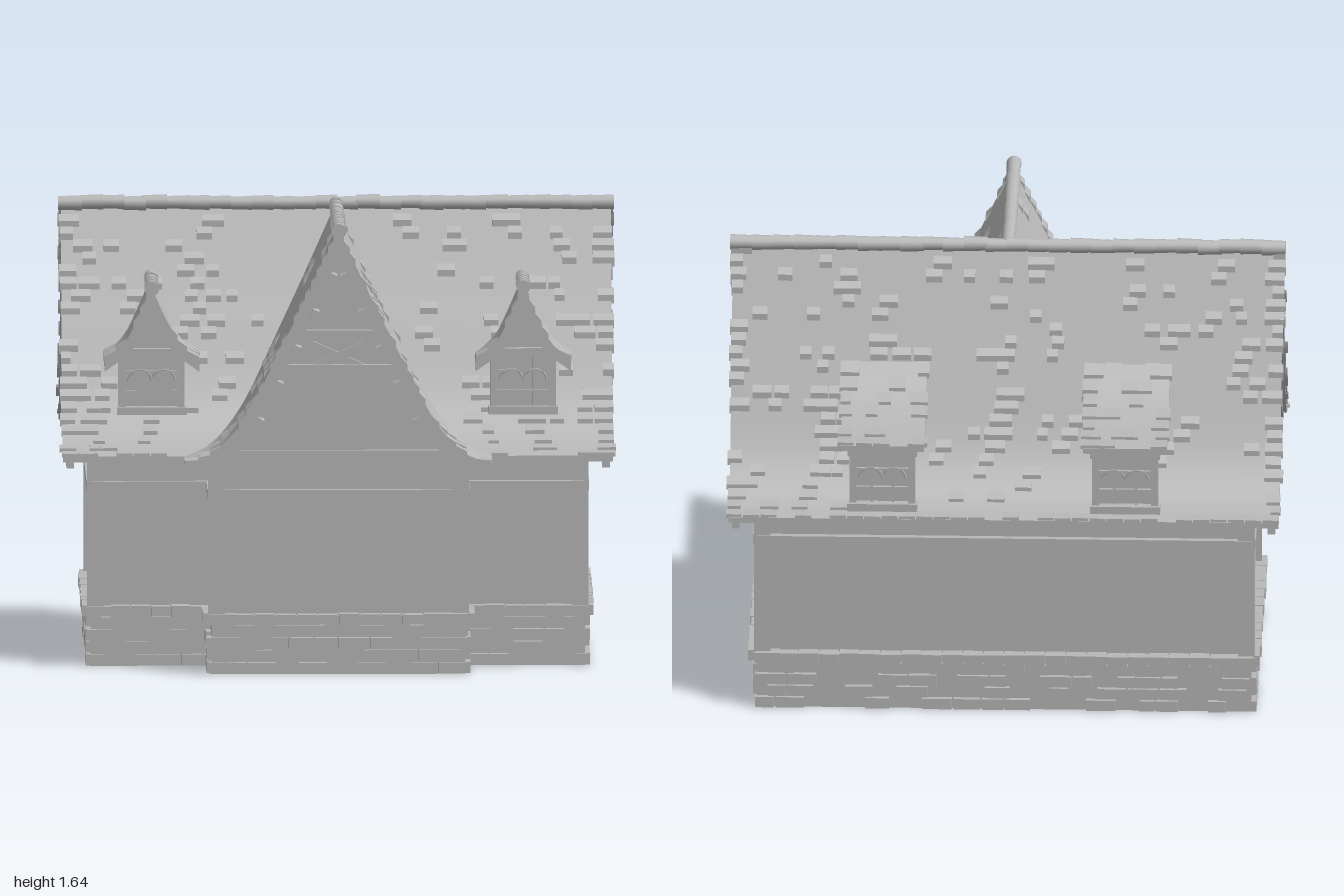
import * as THREE from 'three';
import { mergeGeometries, toCreasedNormals } from 'three/addons/utils/BufferGeometryUtils.js';

const plaster = new THREE.MeshStandardMaterial({ color: 0xb8b8b8 });
plaster.name = 'plainGrey';

let seed = 7;
const rnd = (a = 0, b = 1) => {
  seed = (seed * 16807) % 2147483647;
  return a + (b - a) * (seed / 2147483647);
};

function add(parent, geo, name) {
  const m = new THREE.Mesh(geo, plaster);
  m.name = name;
  parent.add(m);
  return m;
}
const group = (parent, name) => {
  const g = new THREE.Group();
  g.name = name;
  parent.add(g);
  return g;
};
const curve = (pts) => new THREE.SplineCurve(pts.map((p) => new THREE.Vector2(...p)));
const box = (w, h, d, x, y, z) => new THREE.BoxGeometry(w, h, d).translate(x, y, z);

// Roof profiles: distance from the ridge, height
const ridgeZ = -0.1;
const mainCurve = curve([[0, 1.61], [0.12, 1.36], [0.21, 1.18], [0.31, 0.98], [0.38, 0.875], [0.46, 0.8], [0.55, 0.77]]);
const dormerCurve = curve([[0, 1.36], [0.05, 1.25], [0.1, 1.16], [0.17, 1.1]]);
const shedCurve = curve([[0.19, 1.23], [0.26, 1.16], [0.35, 1.105], [0.44, 1.075], [0.555, 1.055]]);
const mainPts = mainCurve.getSpacedPoints(24);
const distAt = (y) => {
  const i = Math.max(1, mainPts.findIndex((p) => p.y <= y));
  const a = mainPts[i - 1], b = mainPts[i];
  return a.x + (b.x - a.x) * (a.y - y) / (a.y - b.y);
};
const heightAt = (d) => {
  const i = Math.max(1, mainPts.findIndex((p) => p.x >= d));
  const a = mainPts[i - 1], b = mainPts[i];
  return a.y + (b.y - a.y) * (d - a.x) / (b.x - a.x);
};

// Closed slab that follows a profile between s0 and s1; "top" and "bottom" are offsets off the slope
function slab(pts, place, s0, s1, top, bottom) {
  const pos = [], idx = [], n = pts.length;
  pts.forEach((p, i) => {
    const a = pts[Math.max(0, i - 1)], b = pts[Math.min(n - 1, i + 1)];
    const k = Math.hypot(1, (b.y - a.y) / (b.x - a.x));
    const t = Array.isArray(top) ? top[i] : top;
    const e0 = typeof s0 === 'function' ? s0(p) : s0;
    for (const [o, s] of [[t, e0], [t, s1], [bottom, s1], [bottom, e0]]) pos.push(...place(p.x, p.y + o * k, s));
  });
  const o = new THREE.Vector3(...place(0, 0, 0));
  const ax = [[1, 0, 0], [0, 1, 0], [0, 0, 1]].map((v) => new THREE.Vector3(...place(...v)).sub(o));
  const flip = ax[0].cross(ax[1]).dot(ax[2]) < 0;
  const tri = (a, b, c) => (flip ? idx.push(a, c, b) : idx.push(a, b, c));
  const quad = (a, b, c, d) => { tri(a, b, c); tri(a, c, d); };
  for (let i = 0; i < n - 1; i++)
    for (let j = 0; j < 4; j++) {
      const p = 4 * i + j, q = 4 * i + (j + 1) % 4;
      quad(p, q, q + 4, p + 4);
    }
  quad(0, 3, 2, 1);
  const e = 4 * n - 4;
  quad(e, e + 1, e + 2, e + 3);
  const g = new THREE.BufferGeometry();
  g.setAttribute('position', new THREE.Float32BufferAttribute(pos, 3));
  g.setIndex(idx);
  return toCreasedNormals(g, 0.5);
}

// Roof plane with loose shingles, ragged verges and eave
function roofPlane(parent, name, c, place, s0, s1, o) {
  add(parent, slab(c.getSpacedPoints(o.steps), place, s0, s1, 0, -0.02), name);
  const parts = [], rows = o.rows;
  const shingle = (r, a, b, extra = 0) => {
    const p = c.getPointAt(r / rows), q = c.getPointAt(Math.min(1, (r + 0.95) / rows));
    q.x += extra;
    parts.push(slab([p, q], place, a, b, [0.002, 0.01], -0.004));
  };
  const start = (r) => (typeof s0 === 'function' ? s0(c.getPointAt(Math.min(1, (r + 1) / rows))) : s0);
  for (let r = 0; r < rows; r++) {
    if (rnd() < 0.75) shingle(r, s1 - rnd(0.03, 0.07), s1 + rnd(0.002, 0.012));
    if (o.bothEnds && rnd() < 0.75) shingle(r, s0 - rnd(0.002, 0.012), s0 + rnd(0.03, 0.07));
  }
  for (let s = start(rows - 1); s < s1 - 0.06; s += 0.062) if (rnd() < 0.7) shingle(rows - 1, s, s + 0.058, rnd(0, 0.008));
  for (let i = 0; i < o.loose; i++) {
    const r = Math.floor(rnd(1, rows - 1)), a = start(r) + 0.05, w = rnd(0.04, 0.07);
    const s = a + rnd() * (s1 - a - 0.1);
    if (s < a) continue;
    shingle(r, s, s + w);
    if (rnd() < 0.5 && s + 1.5 * w < s1) shingle(r + (r < rows - 2 ? 1 : 0), s + w * 0.5, s + w * 1.4);
  }
  if (parts.length) add(parent, mergeGeometries(parts), name + 'Shingles');
}

// Row of overlapping round ridge tiles along local x or z
function ridge(parent, name, axis, from, to, n, r, place) {
  const parts = [], L = (to - from) / n;
  for (let i = 0; i < n; i++) {
    const k = rnd(0.93, 1.06);
    const g = new THREE.CylinderGeometry(r * 1.04 * k, r * 0.92 * k, L * 1.12, 12);
    if (axis === 'x') g.rotateZ(-Math.PI / 2); else g.rotateX(Math.PI / 2);
    const s = from + (i + 0.5) * L;
    parts.push(g.translate(...place(s, rnd(-0.003, 0.003))));
  }
  add(parent, mergeGeometries(parts), name);
}

// Beam between two points of a local wall face
function beam(parent, x0, y0, x1, y1, w, z, depth, name) {
  const g = new THREE.BoxGeometry(Math.hypot(x1 - x0, y1 - y0), w, depth);
  g.rotateZ(Math.atan2(y1 - y0, x1 - x0)).translate((x0 + x1) / 2, (y0 + y1) / 2, z);
  return add(parent, g, name);
}

// T-shaped floor plan, grown by o
const plan = (o) => {
  const w = 0.875 + o, b = -0.55 - o, f = 0.345 + o, v = 0.445 + o, t = 0.565 + o;
  return [[-v, t], [v, t], [v, f], [w, f], [w, b], [-w, b], [-w, f], [-v, f]];
};
function planRing(outer, inner, y0, y1) {
  const v = (o) => plan(o).map(([x, z]) => new THREE.Vector2(x, -z));
  const s = new THREE.Shape(v(outer));
  s.holes.push(new THREE.Path(v(inner)));
  return new THREE.ExtrudeGeometry(s, { depth: y1 - y0, bevelEnabled: false }).rotateX(-Math.PI / 2).translate(0, y0, 0);
}

// Masonry and framing along one side of the plan
function wallSide(root, a, b, postStart, postEnd) {
  const g = group(root, 'wallSide'), len = Math.hypot(b[0] - a[0], b[1] - a[1]);
  g.position.set(a[0], 0, a[1]);
  g.rotation.y = Math.atan2(a[1] - b[1], b[0] - a[0]);
  const stones = [], sill = [];
  for (let r = 0; r < 4; r++)
    for (let x = r % 2 ? 0.035 : -0.01; x < len - 0.02;) {
      const w = Math.min(rnd(0.06, 0.12), len + 0.012 - x);
      if (rnd() < 0.55 || x < 0) stones.push(box(w - 0.006, 0.04, 0.02, x + w / 2, 0.023 + r * 0.045, 0.008));
      x += w;
    }
  const n = Math.max(3, Math.round(len / 0.075));
  for (let i = 0; i < n; i++)
    sill.push(box(len / n - 0.004 + (i % (n - 1) ? 0 : 0.02), rnd(0.034, 0.042), 0.05, (i + 0.5) * len / n, 0.2, rnd(0.003, 0.009)));
  add(g, mergeGeometries(stones), 'foundationStones');
  add(g, mergeGeometries(sill), 'sillStones');
  beam(g, 0, 0.65, len, 0.65, 0.035, 0.004, 0.022, 'wallBeam');
  if (postStart) beam(g, 0.02, 0.2, 0.02, 0.77, 0.055, 0.002, 0.02, 'cornerPost');
  if (postEnd) beam(g, len - 0.02, 0.2, len - 0.02, 0.77, 0.055, 0.002, 0.02, 'cornerPost');
}

// Gable wall with timbers, bargeboards and purlin ends; local z points outward
function gable(root, name, x, z, rotY, overhang) {
  const g = group(root, name);
  g.position.set(x, 0, z);
  g.rotation.y = rotY;
  const half = mainPts.filter((p) => p.x < 0.43).map((p) => [p.x, p.y - 0.03]);
  half.push([0.445, 0.76]);
  const outline = [...half.map(([d, y]) => [-d, y]).reverse(), ...half.slice(1)];
  const shape = new THREE.Shape(outline.map((p) => new THREE.Vector2(...p)));
  add(g, new THREE.ExtrudeGeometry(shape, { depth: 0.04, bevelEnabled: false }).translate(0, 0, -0.04), 'gableWall');
  beam(g, -0.43, 0.79, 0.43, 0.79, 0.038, 0.006, 0.026, 'tieBeam');
  beam(g, -0.24, 1.1, 0.24, 1.1, 0.038, 0.008, 0.03, 'lowerCollar');
  beam(g, -0.17, 1.225, 0.17, 1.225, 0.038, 0.008, 0.03, 'upperCollar');
  for (const s of [-1, 1]) {
    beam(g, -0.15 * s, 1.215, 0.1 * s, 1.1, 0.03, 0.004, 0.022, 'crossBrace');
    const put = (d, y, t) => [s * d, y, t];
    const pts = mainCurve.getSpacedPoints(20);
    add(g, slab(pts, put, overhang - 0.04, overhang - 0.012, -0.018, -0.042), 'bargeboard');
    add(g, slab(pts.slice(0, 18), put, -0.01, 0.02, -0.018, -0.055), 'rafter');
    for (const u of [0.16, 0.3, 0.44, 0.58, 0.72]) {
      const p = mainCurve.getPointAt(u), t = mainCurve.getTangentAt(u);
      const peg = add(g, box(0.032, 0.026, overhang - 0.01, 0, -0.053, (overhang - 0.01) / 2), 'purlinEnd');
      peg.position.set(s * p.x, p.y, 0);
      peg.rotation.z = s * Math.atan2(t.y, t.x);
    }
  }
}

// Window frame with glazing bars around (0, cy)
function windowFrame(parent, w, h, cy, z) {
  const g = group(parent, 'window'), y0 = cy - h / 2, y1 = cy + h / 2;
  for (const s of [-1, 1]) {
    beam(g, s * w / 2, y0, s * w / 2, y1, 0.026, z, 0.03, 'windowJamb');
    beam(g, s * w * 0.18, y0, s * w * 0.18, y1, 0.007, z, 0.012, 'glazingBar');
    add(g, new THREE.TorusGeometry(w * 0.2, 0.004, 4, 12, Math.PI).translate(s * w * 0.2, cy, z + 0.004), 'glazingArch');
  }
  beam(g, -w / 2 - 0.02, y0, w / 2 + 0.02, y0, 0.028, z + 0.006, 0.045, 'windowSill');
  beam(g, -w / 2 - 0.02, y1, w / 2 + 0.02, y1, 0.028, z + 0.003, 0.036, 'windowLintel');
  for (const k of [-0.17, 0.17]) beam(g, -w / 2, cy + k * h, w / 2, cy + k * h, 0.007, z, 0.012, 'glazingBar');
}

function frontDormer(root, cx) {
  const g = group(root, 'frontDormer');
  g.position.x = cx;
  const s = new THREE.Shape([[-0.11, 0.9], [0.11, 0.9], [0.11, 1.12], [0.05, 1.22], [0, 1.32], [-0.05, 1.22], [-0.11, 1.12]].map((p) => new THREE.Vector2(...p)));
  add(g, new THREE.ExtrudeGeometry(s, { depth: 0.2, bevelEnabled: false }).translate(0, 0, 0.085), 'dormerBody');
  windowFrame(g, 0.21, 0.21, 1.02, 0.29);
  for (const k of [-1, 1]) {
    const put = (d, y, t) => [k * d, y, t];
    roofPlane(g, 'dormerRoof', dormerCurve, put, (p) => ridgeZ + distAt(p.y) - 0.02, 0.325, { steps: 8, rows: 6, loose: 0 });
    add(g, slab(dormerCurve.getSpacedPoints(8), put, 0.295, 0.318, -0.018, -0.034), 'dormerBargeboard');
  }
  ridge(g, 'dormerRidge', 'z', 0.01, 0.335, 6, 0.025, (t, j) => [0, 1.362 + j, t]);
}

function backDormer(root, cx) {
  const g = group(root, 'backDormer');
  g.position.x = cx;
  const s = new THREE.Shape([[0.25, 1.14], [0.35, 1.09], [0.44, 1.06], [0.51, 1.045], [0.51, 0.8], [0.36, 0.8]].map((p) => new THREE.Vector2(...p)));
  add(g, new THREE.ExtrudeGeometry(s, { depth: 0.22, bevelEnabled: false }).rotateY(Math.PI / 2).translate(-0.11, 0, ridgeZ), 'dormerBody');
  const face = group(g, 'dormerFace');
  face.rotation.y = Math.PI;
  windowFrame(face, 0.21, 0.21, 0.915, 0.615);
  roofPlane(g, 'shedRoof', shedCurve, (d, y, t) => [t, y, ridgeZ - d], -0.15, 0.15, { steps: 10, rows: 7, loose: 5, bothEnds: true });
}

export function createModel() {
  const root = new THREE.Group();
  root.name = 'cottage';

  // Foundation and walls
  add(root, planRing(0.01, -0.04, 0, 0.19), 'foundation');
  add(root, planRing(0.025, -0.04, 0.183, 0.212), 'sillCourse');
  add(root, planRing(0, -0.035, 0.2, 0.765), 'walls');
  const base = plan(0.01);
  const convex = [1, 1, 0, 1, 1, 1, 1, 0];
  base.forEach((p, i) => wallSide(root, p, base[(i + 1) % 8], convex[i], convex[(i + 1) % 8]));

  // Gables
  gable(root, 'frontGable', 0, 0.565, 0, 0.08);
  gable(root, 'leftGable', 0.875, ridgeZ, Math.PI / 2, 0.11);
  gable(root, 'rightGable', -0.875, ridgeZ, -Math.PI / 2, 0.11);

  // Roofs, mitred along the valleys
  const big = { steps: 24, rows: 22 };
  roofPlane(root, 'backRoof', mainCurve, (d, y, s) => [s, y, ridgeZ - d], -0.985, 0.985, { ...big, loose: 90, bothEnds: true });
  for (const k of [-1, 1]) {
    roofPlane(root, 'frontRoof', mainCurve, (d, y, s) => [k * s, y, ridgeZ + d], (p) => p.x, 0.985, { ...big, loose: 40 });
    roofPlane(root, 'wingRoof', mainCurve, (d, y, s) => [k * d, y, s], (p) => ridgeZ + p.x, 0.635, { ...big, loose: 16 });
    frontDormer(root, k * 0.665);
    backDormer(root, k * 0.435);
  }
  ridge(root, 'mainRidge', 'x', -0.99, 0.99, 26, 0.026, (t, j) => [t, 1.61 + j, ridgeZ]);
  ridge(root, 'wingRidge', 'z', ridgeZ, 0.65, 11, 0.026, (t, j) => [0, 1.61 + j, t]);

  // Eave boards
  const y = heightAt(0.5) - 0.03;
  add(root, box(1.92, 0.02, 0.03, 0, y, ridgeZ - 0.5), 'backEaveBoard');
  for (const k of [-1, 1]) add(root, box(0.46, 0.02, 0.03, k * 0.73, y, ridgeZ + 0.5), 'frontEaveBoard');
  return root;
}
